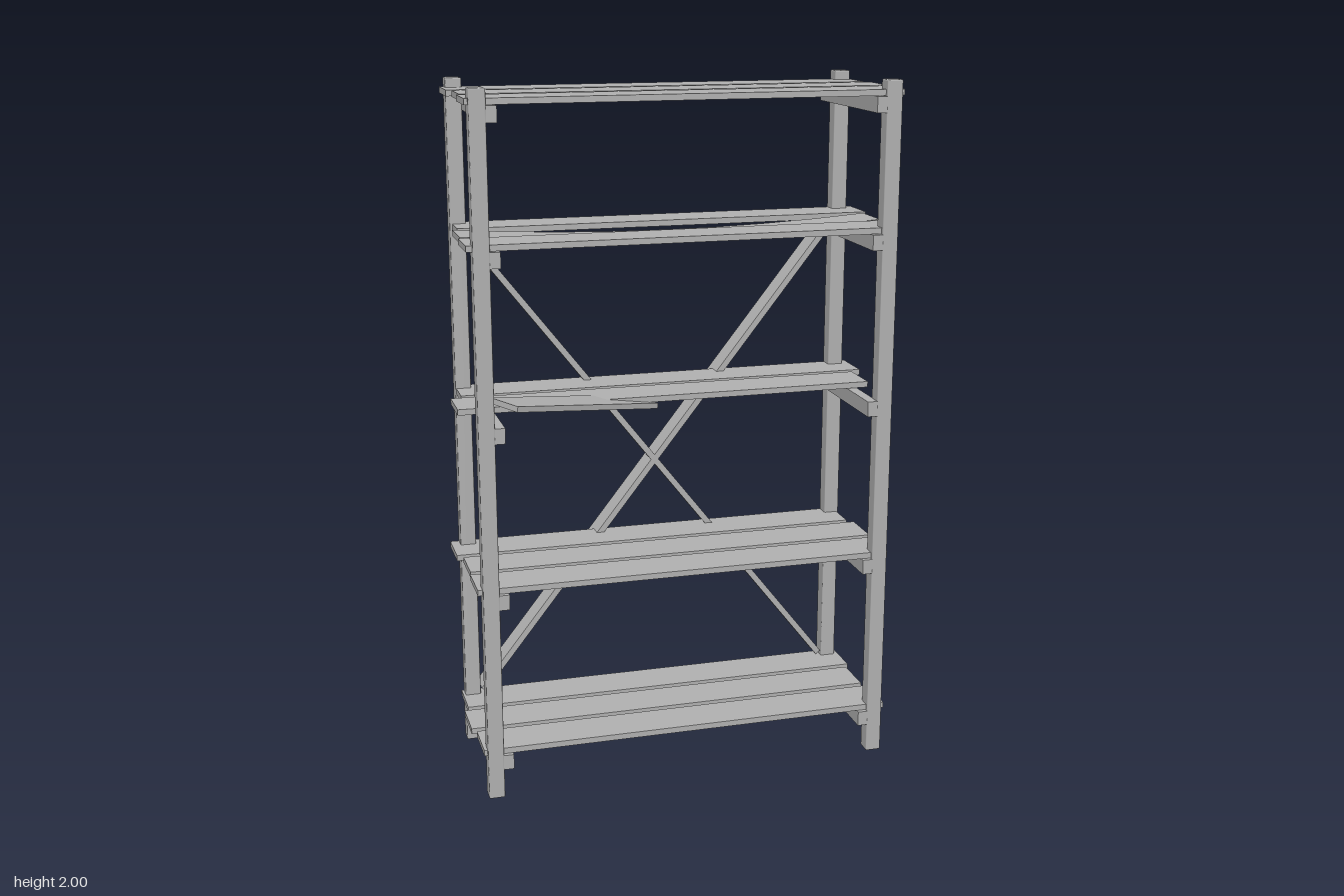
import * as THREE from 'three';
import { RoundedBoxGeometry } from 'three/addons/geometries/RoundedBoxGeometry.js';

const HEIGHTS = [0.14, 0.625, 1.105, 1.585, 1.965];
const PLANK = { length: 1.217, thick: 0.017, width: 0.13 };
const PLANK_Z = [-0.165, -0.015, 0.135]; // back, middle, front
// small sideways shifts of the hand-laid planks, per shelf
const SHIFTS = [
  [0.002, -0.012, 0.0],
  [-0.016, 0.0, -0.004],
  [0.012, -0.021, 0],
  [0.017, 0.0, -0.007],
  [-0.002, 0.011, 0.0],
];

export function createModel() {
  const group = new THREE.Group();
  const grey = new THREE.MeshStandardMaterial({ color: 0xb3b3b3 });
  grey.name = 'weathered grey';

  const add = (name, geometry, x, y, z) => {
    const mesh = new THREE.Mesh(geometry, grey);
    mesh.name = name;
    mesh.position.set(x, y, z);
    group.add(mesh);
    return mesh;
  };

  // Corner posts with eased edges
  for (const x of [-0.576, 0.576]) {
    for (const z of [-0.212, 0.188]) {
      add('post', new RoundedBoxGeometry(0.046, 2, 0.046, 1, 0.004), x, 1, z);
    }
  }

  HEIGHTS.forEach((y, shelf) => {
    // Cleats joining front and back posts under each shelf
    for (const x of [-0.54, 0.54]) {
      add('cleat', new THREE.BoxGeometry(0.03, 0.044, 0.444), x, y - 0.032, -0.012);
    }
    // Three planks per shelf; the third shelf has lost its front one
    PLANK_Z.forEach((z, i) => {
      if (shelf === 2 && i === 2) return;
      const sags = shelf === 3 && i === 1;
      const geometry = new THREE.BoxGeometry(PLANK.length, PLANK.thick, PLANK.width, sags ? 8 : 1, 1, 1);
      if (sags) {
        const p = geometry.attributes.position;
        for (let k = 0; k < p.count; k++) {
          const t = p.getX(k) / (PLANK.length / 2);
          p.setY(k, p.getY(k) - 0.024 * (1 - t * t));
        }
        geometry.computeVertexNormals();
      }
      add(sags ? 'saggingPlank' : 'plank', geometry, SHIFTS[shelf][i], y, z);
    });
  });

  // Broken plank half, lying askew on the third shelf
  const broken = add('brokenPlank', new THREE.BoxGeometry(0.495, 0.016, 0.13), -0.305, 1.122, 0.098);
  broken.rotation.set(0, THREE.MathUtils.degToRad(25), THREE.MathUtils.degToRad(-8.5), 'YZX');

  // Crossed braces at the back
  for (const side of [-1, 1]) {
    const brace = add('brace', new THREE.BoxGeometry(1.76, 0.018, 0.075), 0, 0.852, -0.2285);
    brace.rotation.z = side * Math.atan2(1.39, 1.09);
  }

  return group;
}
